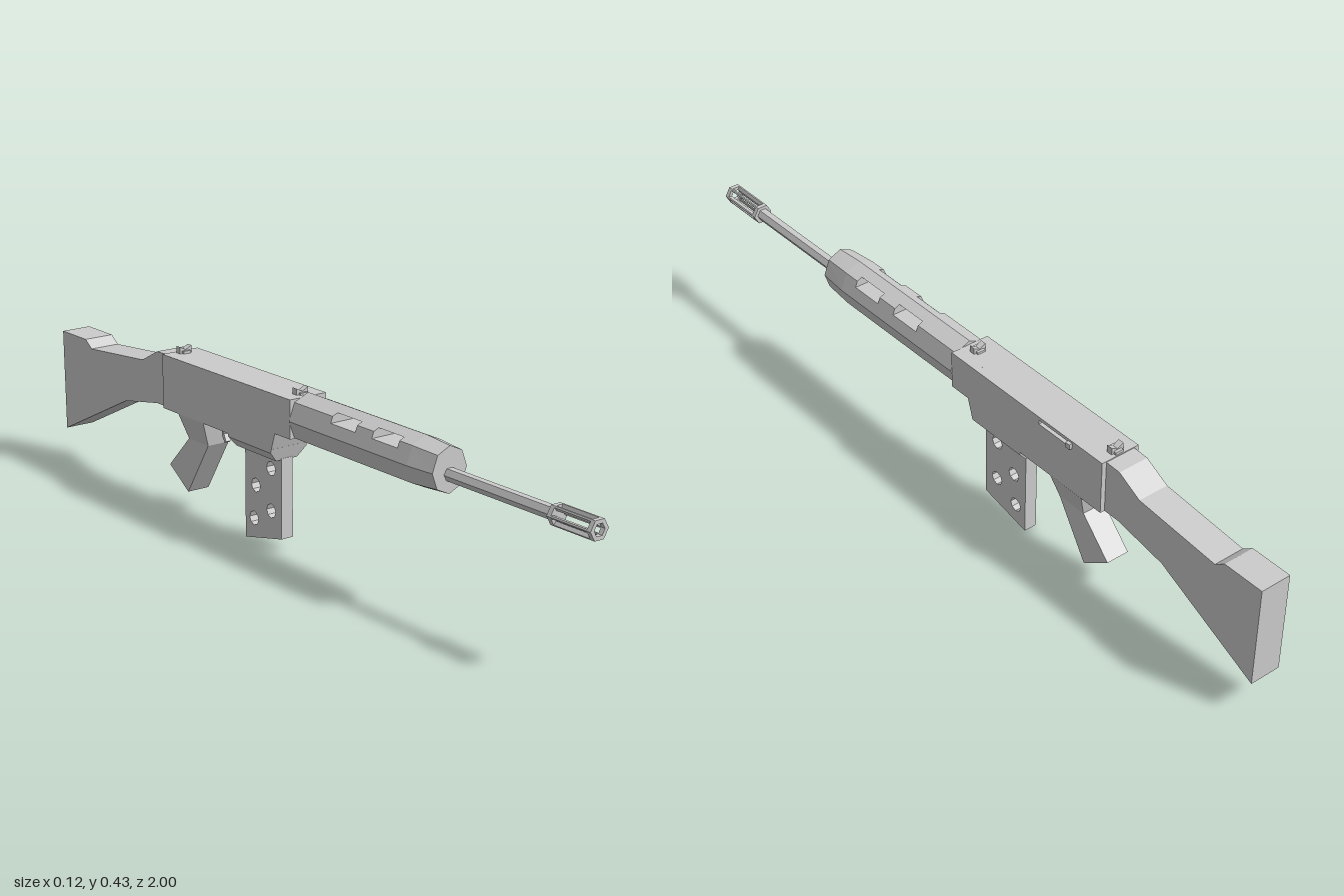
import * as THREE from 'three';

const material = new THREE.MeshStandardMaterial({ color: 0xcccccc, flatShading: true });

export function createModel() {
  const model = new THREE.Group();

  const add = (name, geometry) => {
    const mesh = new THREE.Mesh(geometry, material);
    mesh.name = name;
    model.add(mesh);
    return mesh;
  };

  const toShape = (points, holes = []) => {
    const shape = new THREE.Shape(points.map(([a, b]) => new THREE.Vector2(a, b)));
    shape.holes.push(...holes);
    return shape;
  };

  // Side profile in (z, y), extruded across x
  const sideExtrude = (points, x0, x1, holes) =>
    new THREE.ExtrudeGeometry(toShape(points, holes), { depth: x1 - x0, bevelEnabled: false, curveSegments: 4 })
      .rotateY(-Math.PI / 2).translate(x1, 0, 0);

  // Cross-section in (x, y), extruded along z
  const lengthExtrude = (points, z0, z1, holes) =>
    new THREE.ExtrudeGeometry(toShape(points, holes), { depth: z1 - z0, bevelEnabled: false })
      .translate(0, 0, z0);

  // Capped solid through rings that run counterclockwise about the direction of travel
  const loft = (rings) => {
    const out = [];
    const tri = (...corners) => corners.forEach((c) => out.push(...c));
    const n = rings[0].length;
    for (let r = 0; r < rings.length - 1; r++) {
      const a = rings[r], b = rings[r + 1];
      for (let i = 0; i < n; i++) {
        const j = (i + 1) % n;
        tri(a[i], a[j], b[j]);
        tri(a[i], b[j], b[i]);
      }
    }
    const first = rings[0], last = rings[rings.length - 1];
    for (let i = 1; i < n - 1; i++) {
      tri(first[0], first[i + 1], first[i]);
      tri(last[0], last[i], last[i + 1]);
    }
    const geometry = new THREE.BufferGeometry();
    geometry.setAttribute('position', new THREE.Float32BufferAttribute(out, 3));
    geometry.computeVertexNormals();
    return geometry;
  };

  // Rectangular ring for solids that run downwards
  const downRing = (w, zBack, yBack, zFront, yFront) =>
    [[-w, yBack, zBack], [w, yBack, zBack], [w, yFront, zFront], [-w, yFront, zFront]];

  const polygon = (sides, rx, ry, cy) => Array.from({ length: sides }, (_, i) => {
    const a = (i / sides) * Math.PI * 2;
    return [rx * Math.cos(a), cy + ry * Math.sin(a)];
  });

  const circleHole = (z, y, r) => {
    const path = new THREE.Path();
    path.absarc(z, y, r, 0, Math.PI * 2, true);
    return path;
  };

  // Receiver, with the bolt slot cut into its left side
  const body = [[0.02, 0.412], [-0.51, 0.41], [-0.51, 0.27], [-0.055, 0.27], [-0.04, 0.315], [0.02, 0.315]];
  const slot = new THREE.Path([[-0.41, 0.391], [-0.295, 0.391], [-0.295, 0.402], [-0.41, 0.402]]
    .map(([z, y]) => new THREE.Vector2(z, y)));
  add('receiver', sideExtrude(body, -0.0535, 0.034));
  add('receiverLeftSide', sideExtrude(body, 0.034, 0.0535, [slot]));
  const knob = add('boltHandle', new THREE.BoxGeometry(0.028, 0.014, 0.014));
  knob.position.set(0.048, 0.398, -0.403);

  // Magazine well and magazine
  add('magazineWell', loft([
    downRing(0.0535, -0.232, 0.272, -0.054, 0.272),
    downRing(0.0535, -0.23, 0.262, -0.057, 0.262),
    downRing(0.031, -0.225, 0.236, -0.065, 0.236),
  ]));
  const holes = [[-0.105, 0.205], [-0.167, 0.147], [-0.105, 0.097], [-0.175, 0.06]]
    .map(([z, y]) => circleHole(z, y, 0.018));
  add('magazine', sideExtrude([[-0.063, 0.24], [-0.21, 0.24], [-0.21, 0.002], [-0.063, 0.035]], -0.017, 0.017, holes));

  // Grip, flaring out to the receiver, and trigger
  add('grip', loft([
    downRing(0.0535, -0.445, 0.272, -0.336, 0.272),
    downRing(0.031, -0.43, 0.205, -0.347, 0.205),
    downRing(0.031, -0.517, 0.115, -0.437, 0.062),
  ]));
  add('trigger', sideExtrude(
    [[-0.305, 0.272], [-0.321, 0.272], [-0.322, 0.235], [-0.31, 0.218], [-0.304, 0.222], [-0.313, 0.24]],
    -0.007, 0.007));

  // Shoulder stock
  add('stock', sideExtrude([
    [-0.505, 0.408], [-0.553, 0.406], [-0.62, 0.37], [-0.86, 0.348], [-0.888, 0.368],
    [-1, 0.368], [-0.995, 0.1], [-0.7, 0.243], [-0.555, 0.27], [-0.505, 0.27],
  ], -0.041, 0.041));

  // Eight-sided handguard; the vents run right through between its top and bottom
  const guardY = 0.36;
  const octagon = polygon(8, 0.057, 0.062, guardY);
  const [e, ne, n, nw, w, sw, s, se] = octagon;
  const ventLow = 0.388, ventHigh = 0.41;
  const xLow = THREE.MathUtils.mapLinear(ventLow, e[1], ne[1], e[0], ne[0]);
  const xHigh = THREE.MathUtils.mapLinear(ventHigh, ne[1], n[1], ne[0], n[0]);
  const belowVent = [e, [xLow, ventLow], [-xLow, ventLow], w, sw, s, se];
  const aboveVent = [[xHigh, ventHigh], n, [-xHigh, ventHigh]];
  for (const [z0, z1] of [[0.02, 0.165], [0.255, 0.315], [0.405, 0.45]]) {
    add('handguardSection', lengthExtrude(octagon, z0, z1));
  }
  for (const [z0, z1] of [[0.165, 0.255], [0.315, 0.405]]) {
    add('handguardBelowVent', lengthExtrude(belowVent, z0, z1));
    add('handguardAboveVent', lengthExtrude(aboveVent, z0, z1));
  }
  add('handguardNose', loft([
    octagon.map(([x, y]) => [x, y, 0.45]),
    polygon(8, 0.05, 0.056, guardY).map(([x, y]) => [x, y, 0.53]),
  ]));

  // Six-sided barrel
  const boreY = 0.35;
  add('barrel', lengthExtrude(polygon(6, 0.0165, 0.0165, boreY), 0.5, 0.875));

  // Slotted muzzle: end rings joined by a rib at each corner
  const outer = polygon(6, 0.026, 0.026, boreY);
  const inner = polygon(6, 0.0155, 0.0155, boreY);
  const bore = new THREE.Path(inner.map(([x, y]) => new THREE.Vector2(x, y)).reverse());
  add('muzzleBase', lengthExtrude(outer, 0.868, 0.88));
  add('muzzleRing', lengthExtrude(outer, 0.988, 1, [bore]));
  const mix = (p, q, t) => [p[0] + (q[0] - p[0]) * t, p[1] + (q[1] - p[1]) * t];
  for (let i = 0; i < 6; i++) {
    const prev = (i + 5) % 6, next = (i + 1) % 6, t = 0.15;
    add('muzzleRib', lengthExtrude([
      mix(outer[i], outer[prev], t), outer[i], mix(outer[i], outer[next], t),
      mix(inner[i], inner[next], t), inner[i], mix(inner[i], inner[prev], t),
    ], 0.88, 0.988));
  }

  // Front and rear sights, each with two raised ears
  const ears = [[-0.017, 0.405], [0.017, 0.405], [0.017, 0.428], [0, 0.419], [-0.017, 0.428]];
  for (const [name, z] of [['frontSight', -0.01], ['rearSight', -0.492]]) {
    add(name, lengthExtrude(ears, z - 0.008, z + 0.008));
    const base = add(name + 'Base', new THREE.BoxGeometry(0.022, 0.014, 0.03));
    base.position.set(0, 0.41, z);
  }

  model.position.x = -0.002;
  return model;
}
